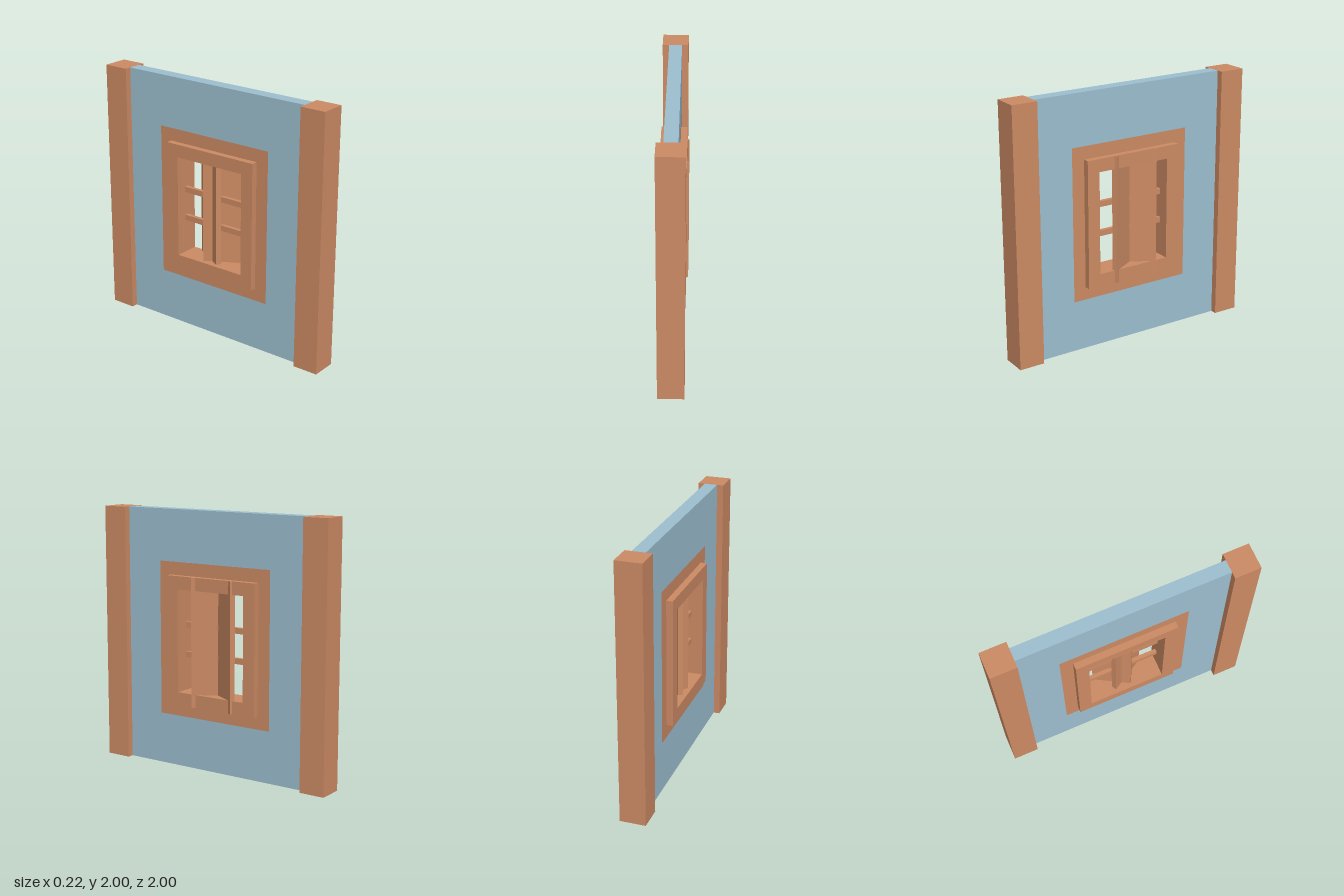
import * as THREE from 'three';

const wood = new THREE.MeshStandardMaterial({ color: 0xcd8b64 });
const blue = new THREE.MeshStandardMaterial({ color: 0x9dbfd0 });
const MID_X = -0.01; // centre plane of the wall

function add(group, name, geometry, material, x, y, z) {
  const mesh = new THREE.Mesh(geometry, material);
  mesh.name = name;
  mesh.position.set(x, y, z);
  group.add(mesh);
  return mesh;
}

// Upright rectangular ring, centred on the origin, with its thickness along x
function ring(width, height, holeWidth, holeHeight, depth) {
  const rect = (target, w, h) => target
    .moveTo(-w / 2, -h / 2).lineTo(w / 2, -h / 2)
    .lineTo(w / 2, h / 2).lineTo(-w / 2, h / 2).closePath();
  const shape = rect(new THREE.Shape(), width, height);
  shape.holes.push(rect(new THREE.Path(), holeWidth, holeHeight));
  const geometry = new THREE.ExtrudeGeometry(shape, { depth, bevelEnabled: false });
  return geometry.translate(0, 0, -depth / 2).rotateY(Math.PI / 2);
}

export function createModel() {
  const group = new THREE.Group();
  group.name = 'windowWall';

  // Wall, with a flush wooden surround set into it
  add(group, 'wall', ring(1.6, 2, 1, 1.2, 0.1), blue, MID_X, 1, 0);
  add(group, 'windowSurround', ring(1, 1.2, 0.6, 0.8, 0.1), wood, MID_X, 1, 0);

  // Raised window frame on both sides of the wall
  add(group, 'windowFrame', ring(0.8, 1, 0.6, 0.8, 0.2), wood, MID_X, 1, 0);

  // End posts
  for (const side of [-1, 1]) {
    add(group, 'post', new THREE.BoxGeometry(0.2, 2, 0.2), wood, MID_X, 1, side * 0.9);
  }

  // Two upright boards crossing in the opening
  const centreZ = -0.0175;
  for (const side of [-1, 1]) {
    const board = add(group, 'crossedBoard', new THREE.BoxGeometry(0.04, 1, 0.3), wood,
      0.013, 1, centreZ + side * 0.0575);
    board.rotation.y = side * Math.PI / 6;
  }

  // Horizontal bars behind the boards
  for (const y of [0.887, 1.118]) {
    add(group, 'bar', new THREE.BoxGeometry(0.03, 0.044, 0.605), wood, MID_X, y, centreZ);
  }

  return group;
}
